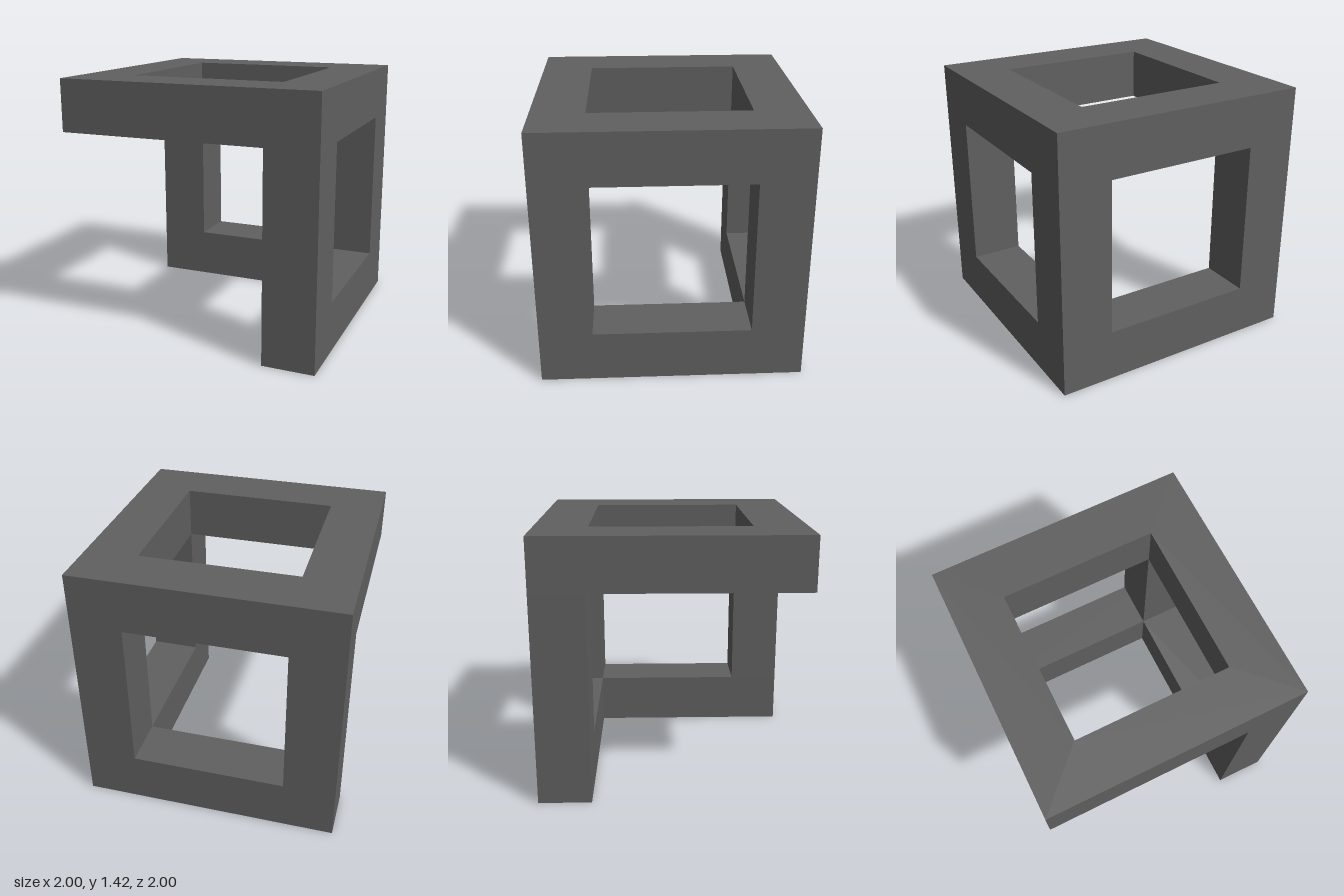
import * as THREE from 'three';

const S = 1.422;        // cube edge
const B = 0.285;        // beam thickness
const H = S / 2;        // outer half width
const I = H - B;        // inner half width

const material = new THREE.MeshStandardMaterial({ color: 0x606060, flatShading: true });

// Builds a closed outline; points are [x, z] on the ground plane
function trace(path, points) {
  path.setFromPoints(points.map(([x, z]) => new THREE.Vector2(x, -z)));
  path.closePath();
  return path;
}

function addMesh(group, name, geometry) {
  const mesh = new THREE.Mesh(geometry, material);
  mesh.name = name;
  group.add(mesh);
  return mesh;
}

// Horizontal slab one beam thick, lying on height y
function addSlab(group, name, shape, y) {
  const geometry = new THREE.ExtrudeGeometry(shape, { depth: B, bevelEnabled: false });
  geometry.rotateX(-Math.PI / 2);
  addMesh(group, name, geometry).position.y = y;
}

export function createModel() {
  const model = new THREE.Group();
  model.name = 'openCubeFrame';

  const frame = new THREE.Group();
  frame.name = 'frame';
  frame.rotation.y = Math.atan2(0.89, 1.11);
  model.add(frame);

  // Complete square ring on top
  const ring = trace(new THREE.Shape(), [[-H, H], [H, H], [H, -H], [-H, -H]]);
  ring.holes.push(trace(new THREE.Path(), [[-I, I], [-I, -I], [I, -I], [I, I]]));
  addSlab(frame, 'topRing', ring, S - B);

  // L-shaped base: only two of the four lower beams exist
  const base = trace(new THREE.Shape(), [[-H, H], [H, H], [H, -H], [I, -H], [I, I], [-H, I]]);
  addSlab(frame, 'baseBeams', base, 0);

  // Three posts between base and ring; the fourth corner is left open
  const mid = H - B / 2;
  const posts = [['frontPost', -mid, mid], ['sidePost', mid, mid], ['backPost', mid, -mid]];
  for (const [name, x, z] of posts) {
    addMesh(frame, name, new THREE.BoxGeometry(B, S - 2 * B, B)).position.set(x, H, z);
  }

  return model;
}
